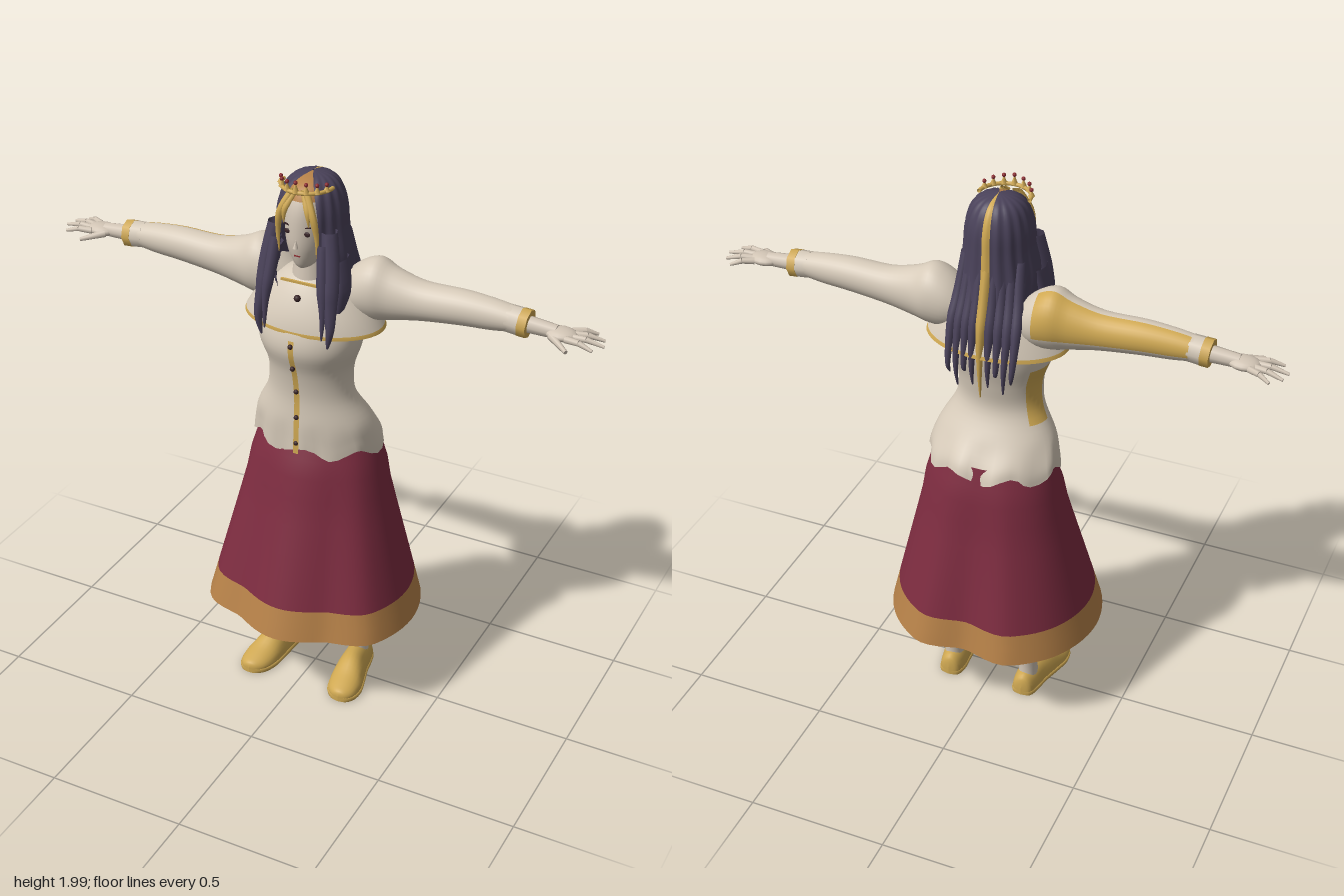
import * as THREE from 'three';

const PI = Math.PI;
const paint = (name, color) => Object.assign(new THREE.MeshStandardMaterial({ color, side: THREE.DoubleSide }), { name });

export function createModel() {
  const model = new THREE.Group();
  model.name = 'figure';
  const cream = paint('cream cloth', 0xd6cab9), skin = paint('pale skin', 0xd2c5b5), gold = paint('gold', 0xcfa852);
  const wine = paint('wine cloth', 0x7d2c40), tan = paint('tan border', 0xb68148), plum = paint('plum hair', 0x4a425a);
  const dark = paint('dark brown', 0x3a2528), red = paint('red jewel', 0x8c2a30);

  function add(name, geo, mat, pos = [0, 0, 0], parent = model) {
    const mesh = new THREE.Mesh(geo, mat);
    mesh.name = name;
    mesh.position.set(...pos);
    parent.add(mesh);
    return mesh;
  }

  // Catmull-Rom smoothing of a short list of cross-section rows
  function smooth(rows, k = 5) {
    const out = [];
    const at = i => rows[Math.max(0, Math.min(rows.length - 1, i))];
    for (let i = 0; i < rows.length - 1; i++) for (let m = 0; m < k; m++) {
      const t = m / k;
      out.push(rows[i].map((b, c) => {
        const a = at(i - 1)[c], d = at(i + 1)[c], e = at(i + 2)[c];
        return b + 0.5 * t * (d - a + t * (2 * a - 5 * b + 4 * d - e + t * (3 * (b - d) + e - a)));
      }));
    }
    out.push(rows.at(-1));
    return out;
  }

  // Skin over rows; point(row, angle 0..2PI) gives a position, pick(row, angle) a material index
  function loft(rows, n, point, pick = () => 0, closed = true) {
    const pos = [], faces = [[], [], []], cols = closed ? n : n + 1;
    rows.forEach(r => { for (let j = 0; j < cols; j++) pos.push(...point(r, j / n * 2 * PI)); });
    for (let i = 0; i < rows.length - 1; i++) for (let j = 0; j < n; j++) {
      const k = (j + 1) % cols, a = i * cols + j, b = i * cols + k, c = a + cols, d = b + cols;
      faces[pick(rows[i], (j + 0.5) / n * 2 * PI)].push(a, b, d, a, d, c);
    }
    const g = new THREE.BufferGeometry();
    g.setAttribute('position', new THREE.Float32BufferAttribute(pos, 3));
    g.setIndex(faces.flat());
    let start = 0;
    faces.forEach((f, m) => { if (f.length) g.addGroup(start, f.length, m); start += f.length; });
    g.computeVertexNormals();
    return g;
  }

  // Upright ring: row = [y, half width, front z, back z]
  const ring = ([y, w, f, b], a) => [w * Math.sin(a), y, (f + b) / 2 + (f - b) / 2 * Math.cos(a)];

  // Tapered hair strand, points listed from tip to root
  function strand(name, pts, w, d, mat) {
    const rows = smooth(pts, 5).map((p, i, all) => [...p, Math.min(1, 0.12 + 1.6 * i / (all.length - 1))]);
    add(name, loft(rows, 8, ([x, y, z, s], a) => [x + w * s * Math.sin(a), y, z + d * s * Math.cos(a)]), [mat]);
  }

  function limb(name, from, to, r1, r2, mat) {
    const a = new THREE.Vector3(...from), b = new THREE.Vector3(...to), dir = b.clone().sub(a);
    const m = add(name, new THREE.CylinderGeometry(r2, r1, dir.length(), 8), mat, a.clone().add(b).multiplyScalar(0.5).toArray());
    m.quaternion.setFromUnitVectors(new THREE.Vector3(0, 1, 0), dir.normalize());
  }

  // Skirt: oval waist blending into a lobed hem with a tan border
  const lobes = [0.33, 0.315, 0.385, 0.388, 0.385, 0.378, 0.312];
  const hem = a => {
    const u = (a > PI ? 2 * PI - a : a) / PI * 6, i = Math.min(5, Math.floor(u)), t = u - i, s = t * t * (3 - 2 * t);
    return lobes[i] * (1 - s) + lobes[i + 1] * s;
  };
  const skirtRows = [0.32, 0.375, 0.43, 0.52, 0.62, 0.72, 0.82, 0.9, 0.96, 1.03].map(y => [y]);
  add('skirt', loft(skirtRows, 72, ([y], a) => {
    const t = (1.03 - y) / 0.71, h = hem(a), hip = 0.015 * Math.exp(-(((y - 0.91) / 0.06) ** 2));
    return [Math.sin(a) * ((0.21 + hip * 0.5) * (1 - t) + h * t), y,
      Math.cos(a) * ((0.15 + hip) * (1 - t) + h * t) - 0.035 * (1 - t)];
  }, ([y]) => y < 0.425 ? 1 : 0), [wine, tan]);

  // Bodice with ragged peplum and a gold side panel
  const bodice = smooth([[0.99, 0.235, 0.14, -0.205], [1.03, 0.23, 0.14, -0.19], [1.1, 0.21, 0.14, -0.14],
    [1.2, 0.158, 0.135, -0.082], [1.3, 0.152, 0.15, -0.09], [1.39, 0.18, 0.178, -0.11], [1.47, 0.185, 0.165, -0.12],
    [1.56, 0.17, 0.12, -0.12], [1.63, 0.08, 0.07, -0.09]]);
  add('bodice', loft(bodice, 48, (r, a) => {
    const [x, y, z] = ring(r, a), k = Math.max(0, 1 - (y - 0.99) / 0.12);
    return [x * (1 + 0.03 * k * Math.sin(9 * a)), y + k * 0.018 * Math.sin(7 * a + 1), z * (1 + 0.05 * k * Math.cos(11 * a))];
  }, ([y], a) => y > 1.14 && y < 1.36 && a > 4.05 && a < 4.75 ? 1 : 0), [cream, gold]);

  // Front placket and buttons
  const placket = bodice.filter(r => r[0] < 1.45);
  add('placket', loft(placket, 1, ([y, , f], a) => [a / PI * 0.01 - 0.01, y, f * (1 + 0.05 * Math.max(0, 1 - (y - 0.99) / 0.12)) + 0.003], undefined, false), [gold]);
  for (const y of [1.03, 1.13, 1.23, 1.33, 1.42]) {
    const row = placket.reduce((p, q) => Math.abs(q[0] - y) < Math.abs(p[0] - y) ? q : p);
    add('button', new THREE.SphereGeometry(0.009, 10, 8), dark, [0, y, row[2] + 0.006]);
  }

  // Short cape with a gold hem
  const cape = [[1.455, 0.252, 0.168, -0.165], [1.468, 0.247, 0.168, -0.162], [1.52, 0.215, 0.155, -0.148],
    [1.58, 0.165, 0.125, -0.125], [1.625, 0.1, 0.095, -0.09], [1.64, 0.06, 0.07, -0.06]];
  add('cape', loft(cape, 48, ring, ([y]) => y < 1.46 ? 1 : 0), [cream, gold]);
  add('collarTrim', new THREE.BoxGeometry(0.15, 0.008, 0.008), gold, [0, 1.618, 0.1]);
  add('brooch', new THREE.SphereGeometry(0.012, 12, 8), dark, [0, 1.575, 0.13]);

  // Neck and head, with the parting shown above the brow
  add('neck', new THREE.CylinderGeometry(0.05, 0.066, 0.12, 20), skin, [0, 1.67, 0.03]);
  const head = smooth([[1.668, 0, 0.09, 0.07], [1.685, 0.035, 0.115, 0], [1.74, 0.064, 0.133, -0.04], [1.8, 0.077, 0.138, -0.07],
    [1.88, 0.08, 0.132, -0.08], [1.94, 0.07, 0.105, -0.06], [1.968, 0.04, 0.06, -0.02], [1.975, 0, 0.01, 0.01]], 4);
  add('head', loft(head, 32, ring, ([y]) => y > 1.9 ? 1 : 0), [skin, tan]);
  const nose = add('nose', new THREE.ConeGeometry(0.009, 0.035, 6), skin, [0, 1.775, 0.138]);
  nose.rotation.x = -0.15;
  add('mouth', new THREE.BoxGeometry(0.022, 0.004, 0.004), red, [0, 1.728, 0.13]);

  // Hair cap, open over the face, with a gold streak behind
  const cap = smooth([[1.58, 0.125, 0.14, -0.135, 42], [1.7, 0.132, 0.155, -0.112, 38], [1.8, 0.118, 0.145, -0.105, 38],
    [1.88, 0.11, 0.135, -0.1, 35], [1.94, 0.09, 0.11, -0.08, 30], [1.972, 0.055, 0.065, -0.045, 25], [1.985, 0, 0.01, 0.01, 15]], 4);
  add('hairCap', loft(cap, 80, (r, u) => {
    const g = r[4] * PI / 180, a = g + u / (2 * PI) * (2 * PI - 2 * g), k = 1 + 0.025 * Math.cos(18 * a);
    const p = ring(r, a);
    return [p[0] * k, p[1], 0.01 + (p[2] - 0.01) * k];
  }, (r, u) => Math.abs(u - PI) < 0.16 ? 1 : 0, false), [plum, gold]);

  // Long strands down the back
  for (let i = -4; i <= 4; i++) {
    const x = i * 0.026, tip = 1.3 + 0.035 * Math.abs(i % 3) + 0.01 * Math.abs(i);
    strand('backStrand', [[x * 1.05, tip, -0.15], [x * 1.1, 1.42, -0.155], [x * 1.1, 1.55, -0.145 + 0.006 * Math.abs(i)],
      [x, 1.66, -0.115 + 0.01 * Math.abs(i)], [x * 0.9, 1.78, -0.085 + 0.012 * Math.abs(i)]], 0.019, 0.02, i === 0 ? gold : plum);
  }

  // Paired parts
  for (const s of [1, -1]) {
    const side = s > 0 ? 'left' : 'right';
    // Front locks and gold fringe
    strand(side + 'FrontLock', [[s * 0.122, 1.43, 0.155], [s * 0.132, 1.5, 0.155], [s * 0.122, 1.6, 0.135], [s * 0.115, 1.7, 0.115], [s * 0.095, 1.82, 0.09]], 0.03, 0.028, plum);
    strand(side + 'InnerLock', [[s * 0.105, 1.46, 0.165], [s * 0.105, 1.56, 0.155], [s * 0.095, 1.66, 0.14], [s * 0.085, 1.78, 0.115]], 0.02, 0.018, plum);
    strand(side + 'SideLock', [[s * 0.125, 1.5, 0.09], [s * 0.14, 1.6, 0.08], [s * 0.12, 1.72, 0.06]], 0.025, 0.045, plum);
    strand(side + 'Fringe', [[s * 0.068, 1.73, 0.125], [s * 0.07, 1.8, 0.128], [s * 0.058, 1.88, 0.134], [s * 0.025, 1.95, 0.112]], 0.013, 0.01, gold);
    strand(side + 'ShortFringe', [[s * 0.045, 1.84, 0.136], [s * 0.04, 1.89, 0.136], [s * 0.015, 1.95, 0.11]], 0.012, 0.008, gold);
    // Eyes and brows
    add(side + 'Eye', new THREE.SphereGeometry(1, 12, 8), dark, [s * 0.034, 1.81, 0.128]).scale.set(0.013, 0.009, 0.004);
    add(side + 'Brow', new THREE.BoxGeometry(0.028, 0.004, 0.005), dark, [s * 0.034, 1.832, 0.127]).rotation.z = s * 0.2;

    // Puffed sleeve; the right one carries a gold panel. Row = [x, centre y, half height, half depth]
    const sleeve = smooth([[0.09, 1.57, 0.05, 0.06], [0.15, 1.58, 0.095, 0.085], [0.215, 1.592, 0.11, 0.09], [0.28, 1.585, 0.09, 0.075],
      [0.38, 1.583, 0.068, 0.062], [0.52, 1.592, 0.06, 0.057], [0.62, 1.592, 0.053, 0.05], [0.69, 1.592, 0.043, 0.044]]);
    add(side + 'Sleeve', loft(sleeve, 32, ([x, y, h, d], a) => [s * x, y + h * Math.cos(a), -0.03 + s * d * Math.sin(a)],
      ([x], a) => s < 0 && x > 0.16 && x < 0.68 && a > 0.1 && a < 1.9 ? 1 : 0), [cream, gold]);
    limb(side + 'Cuff', [s * 0.675, 1.592, -0.03], [s * 0.722, 1.588, -0.03], 0.047, 0.048, cream);
    limb(side + 'CuffBand', [s * 0.718, 1.588, -0.03], [s * 0.748, 1.586, -0.03], 0.049, 0.049, gold);

    // Hand
    limb(side + 'Wrist', [s * 0.73, 1.586, -0.03], [s * 0.84, 1.58, -0.03], 0.03, 0.024, skin);
    add(side + 'Palm', new THREE.SphereGeometry(1, 16, 10), skin, [s * 0.855, 1.578, -0.03]).scale.set(0.055, 0.02, 0.042);
    [[0.955, -0.1], [0.99, -0.065], [1.0, -0.025], [0.975, 0.02]].forEach(([x, z], i) => {
      const root = [s * 0.88, 1.578, -0.062 + i * 0.021], mid = [s * (0.88 + x) / 2, 1.58, (root[2] + z) / 2];
      limb(side + 'Finger', root, mid, 0.012, 0.01, skin);
      limb(side + 'FingerTip', mid, [s * x, 1.567, z], 0.01, 0.005, skin);
    });
    limb(side + 'Thumb', [s * 0.83, 1.575, -0.005], [s * 0.9, 1.56, 0.05], 0.014, 0.007, skin);

    // Leg, row = [y, half width, front z, back z]
    const leg = smooth([[0.05, 0.036, -0.02, -0.1], [0.12, 0.034, -0.025, -0.1], [0.22, 0.042, -0.02, -0.112], [0.34, 0.052, -0.01, -0.122],
      [0.5, 0.055, 0.015, -0.105], [0.75, 0.075, 0.05, -0.11], [0.98, 0.09, 0.06, -0.12]], 4);
    add(side + 'Leg', loft(leg, 20, (r, a) => {
      const p = ring(r, a);
      return [s * (0.15 - 0.04 * Math.max(0, r[0] - 0.34)) + p[0], p[1], p[2]];
    }), [skin]);

    // Shoe, row = [z, centre x, half width, height]
    const shoe = smooth([[-0.13, 0.147, 0, 0.03], [-0.12, 0.147, 0.033, 0.075], [-0.08, 0.148, 0.046, 0.088], [-0.02, 0.155, 0.05, 0.098],
      [0.04, 0.165, 0.057, 0.098], [0.1, 0.175, 0.062, 0.07], [0.15, 0.181, 0.052, 0.052], [0.178, 0.184, 0.028, 0.04], [0.185, 0.184, 0, 0.022]], 4);
    add(side + 'Shoe', loft(shoe, 24, ([z, x, w, h], a) => [s * x - w * Math.sin(a), Math.max(0.005, 0.018 + (h - 0.018) * Math.cos(a)), z]), [gold]);
    add(side + 'Sole', loft(shoe, 24, ([z, x, w], a) => [s * x - w * 1.08 * Math.sin(a), 0.008 + 0.008 * Math.sign(Math.round(Math.cos(a) * 9)), z]), [gold]);
  }

  // Tiara: a front arc with jewelled points
  const tiara = new THREE.Group();
  tiara.name = 'tiara';
  tiara.position.set(0, 1.952, 0.05);
  model.add(tiara);
  const band = add('tiaraBand', new THREE.TorusGeometry(0.088, 0.007, 8, 32, PI), gold, [0, 0, 0], tiara);
  band.rotation.x = PI / 2;
  for (let i = -3; i <= 3; i++) {
    const a = i * 0.4, h = 0.034 - 0.004 * Math.abs(i), x = 0.088 * Math.sin(a), z = 0.088 * Math.cos(a);
    add('tiaraPoint', new THREE.ConeGeometry(0.012, h, 6), gold, [x, h / 2, z], tiara);
    add('tiaraJewel', new THREE.SphereGeometry(0.007, 8, 6), red, [x, h, z], tiara);
  }
  return model;
}
